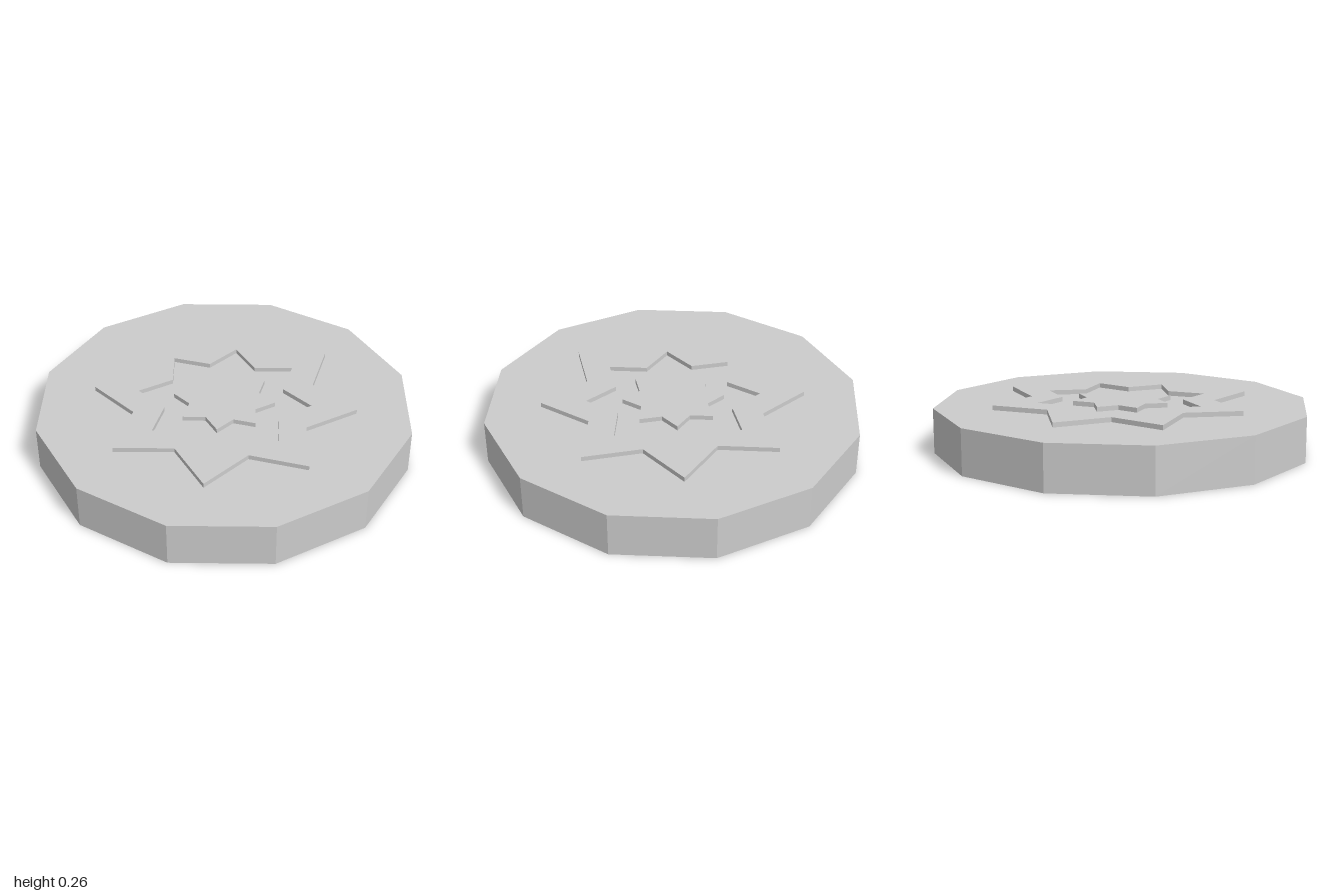
import * as THREE from 'three';

const BASE_HEIGHT = 0.24;
const RELIEF = 0.025;

// Eight-pointed star outline, with notches on the axes and diagonals
function starPoints(tipRadius, notchRadius) {
  const points = [];
  for (let i = 0; i < 16; i++) {
    const angle = (i * Math.PI) / 8;
    const r = i % 2 ? tipRadius : notchRadius;
    points.push(new THREE.Vector2(r * Math.cos(angle), r * Math.sin(angle)));
  }
  return points;
}

export function createModel() {
  const group = new THREE.Group();
  group.name = 'starMedallion';
  const material = new THREE.MeshStandardMaterial({ color: 0xcccccc, flatShading: true });

  function add(name, geometry, y) {
    const mesh = new THREE.Mesh(geometry, material);
    mesh.name = name;
    mesh.position.y = y;
    group.add(mesh);
  }

  // Raised flat relief lying on top of the base
  function addRelief(name, shape) {
    const geometry = new THREE.ExtrudeGeometry(shape, { depth: RELIEF, bevelEnabled: false });
    geometry.rotateX(-Math.PI / 2);
    add(name, geometry, BASE_HEIGHT);
  }

  // Twelve-sided base
  add('base', new THREE.CylinderGeometry(1, 1, BASE_HEIGHT, 12), BASE_HEIGHT / 2);

  // Star-shaped ring with a star-shaped opening
  const ring = new THREE.Shape(starPoints(0.7, 0.49));
  ring.holes.push(new THREE.Path(starPoints(0.462, 0.324)));
  addRelief('starRing', ring);

  // Small solid star in the middle
  addRelief('centreStar', new THREE.Shape(starPoints(0.27, 0.19)));

  return group;
}
